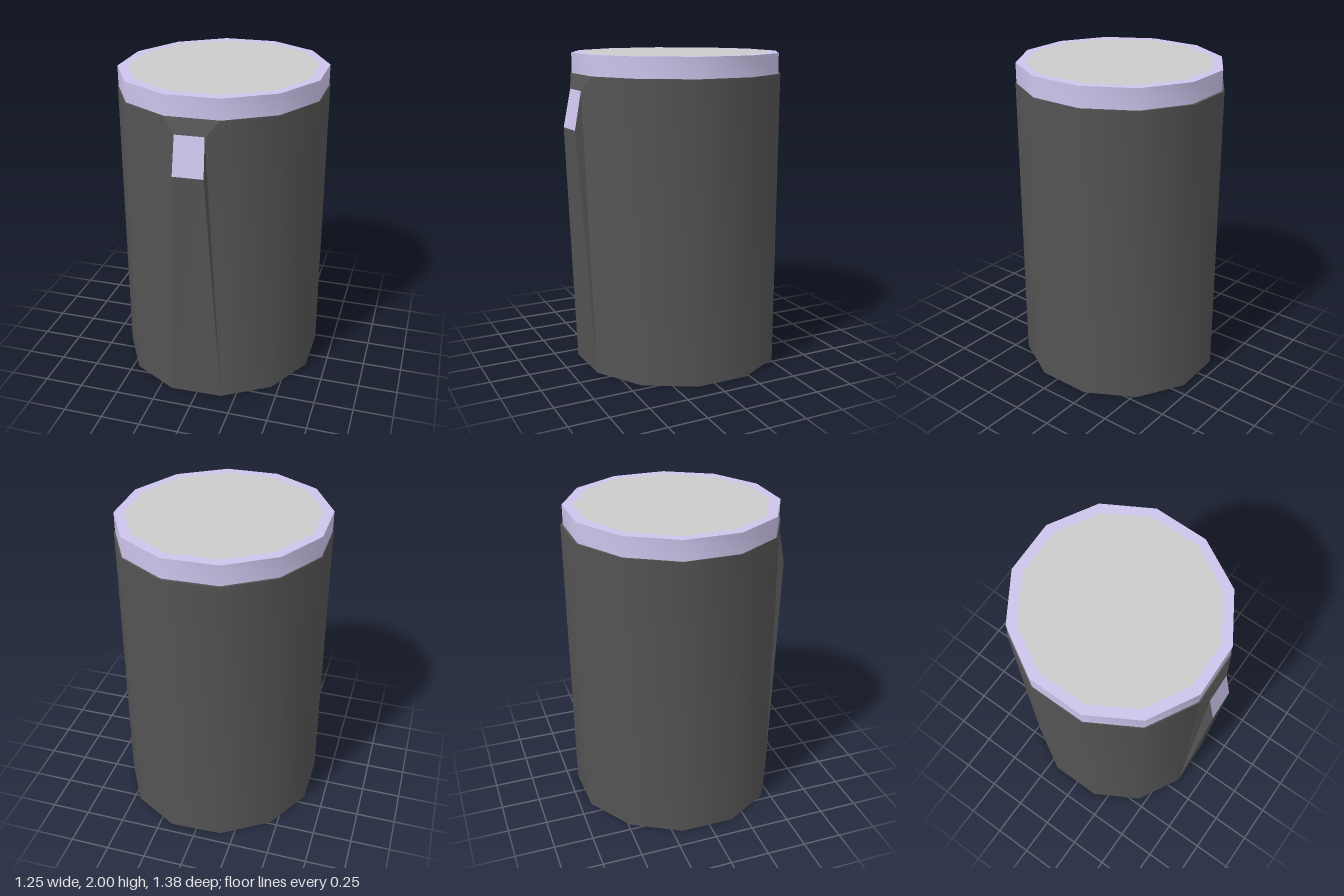
import * as THREE from 'three';
import { toCreasedNormals } from 'three/addons/utils/BufferGeometryUtils.js';

// Slightly irregular twelve-sided plan (x, z)
const PLAN = [
  [-0.17, 0.61], [0.16, 0.6], [0.452, 0.42], [0.622, 0.115], [0.625, -0.23], [0.46, -0.523],
  [0.17, -0.688], [-0.165, -0.676], [-0.453, -0.49], [-0.624, -0.19], [-0.626, 0.157], [-0.46, 0.45],
];
const CENTRE_Z = -0.037;
const BODY_TOP = 1.875;

const outline = (sx, sz, cz = CENTRE_Z) =>
  PLAN.map(([x, z]) => new THREE.Vector2(x * sx, -(cz + (z - CENTRE_Z) * sz)));

// Upright prism with its base at y
function prism(shape, y, height) {
  const geo = new THREE.ExtrudeGeometry(shape, { depth: height, bevelEnabled: false });
  geo.rotateX(-Math.PI / 2).translate(0, y, 0);
  return toCreasedNormals(geo, 0.56);
}

// Flat four-cornered faces, corners anticlockwise seen from outside
function quads(faces) {
  const pos = faces.flatMap(([a, b, c, d]) => [a, b, c, a, c, d].flat());
  const geo = new THREE.BufferGeometry();
  geo.setAttribute('position', new THREE.Float32BufferAttribute(pos, 3));
  geo.computeVertexNormals();
  return geo;
}

export function createModel() {
  const group = new THREE.Group();
  const dark = new THREE.MeshStandardMaterial({ color: 0x545454 });
  const lilac = new THREE.MeshStandardMaterial({ color: 0xccc4eb });
  const grey = new THREE.MeshStandardMaterial({ color: 0xcccccc });
  const add = (name, geo, mat) => {
    const mesh = new THREE.Mesh(geo, mat);
    mesh.name = name;
    group.add(mesh);
  };

  // Main can
  add('body', prism(new THREE.Shape(outline(1, 1)), 0, BODY_TOP), dark);

  // Rim around the lid, and the flush lid panel inside it
  const inner = outline(0.9, 0.885, -0.033);
  const rim = new THREE.Shape(outline(0.992, 0.982, -0.033));
  rim.holes.push(new THREE.Path(inner));
  add('rim', prism(rim, BODY_TOP, 2 - BODY_TOP), lilac);
  add('lid', prism(new THREE.Shape(inner), BODY_TOP, 2 - BODY_TOP), grey);

  // Tapered ridge on the front: base, widest point, window top, shoulder
  const [l, r] = PLAN;
  const baseL = [l[0], 0, l[1]], baseR = [r[0], 0, r[1]];
  const midL = [-0.1, 1.55, 0.688], midR = [0.085, 1.55, 0.68];
  const winL = [-0.098, 1.785, 0.64], winR = [0.08, 1.785, 0.634];
  const topL = [l[0], BODY_TOP, l[1]], topR = [r[0], BODY_TOP, r[1]];
  add('frontRidge', quads([
    [baseL, baseR, midR, midL],
    [baseR, topR, winR, midR],
    [baseL, midL, winL, topL],
    [winL, winR, topR, topL],
  ]), dark);
  add('ridgeWindow', quads([[midL, midR, winR, winL]]), lilac);

  return group;
}
